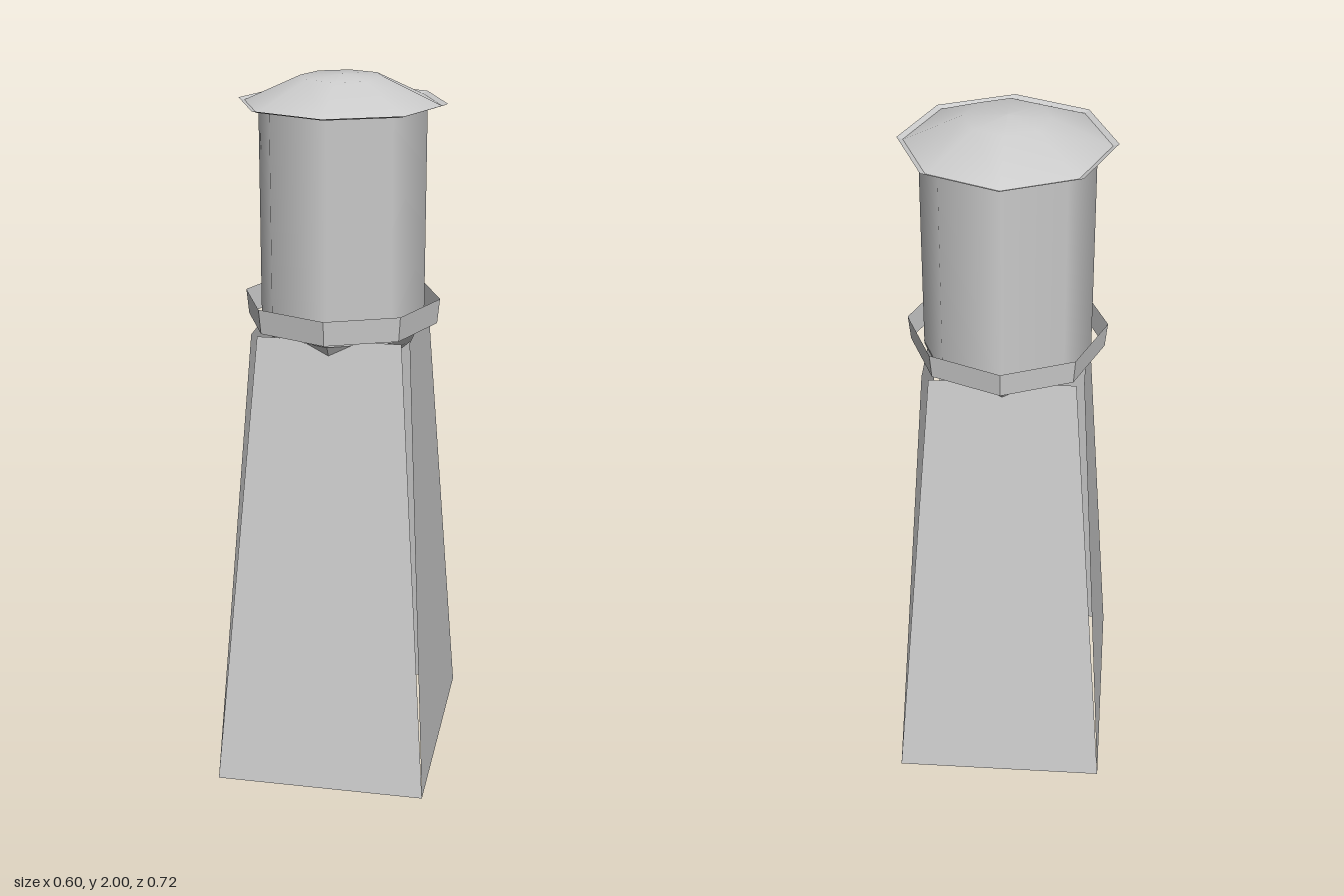
import * as THREE from 'three';

const grey = new THREE.MeshStandardMaterial({ color: 0xcccccc, side: THREE.DoubleSide });
grey.name = 'light grey metal';

const SIDES = 8;

// Eight-sided turned part from [radius, height] pairs, bottom to top
function turned(name, profile, faceted = false) {
  let geometry = new THREE.LatheGeometry(profile.map(([r, y]) => new THREE.Vector2(r, y)), SIDES);
  if (faceted) {
    geometry = geometry.toNonIndexed();
    geometry.computeVertexNormals();
  }
  const mesh = new THREE.Mesh(geometry, grey);
  mesh.name = name;
  return mesh;
}

// Leaning trapezoid wall facing +z: half width and distance at bottom and top
function wall(name, bottomHalf, bottomOut, topHalf, topOut, height, turn) {
  const geometry = new THREE.PlaneGeometry(1, 1);
  const p = geometry.attributes.position;
  for (let i = 0; i < p.count; i++) {
    const top = p.getY(i) > 0;
    const half = top ? topHalf : bottomHalf;
    p.setXYZ(i, Math.sign(p.getX(i)) * half, top ? height : 0, top ? topOut : bottomOut);
  }
  geometry.computeVertexNormals();
  const mesh = new THREE.Mesh(geometry, grey);
  mesh.name = name;
  mesh.rotation.y = turn;
  return mesh;
}

export function createModel() {
  const model = new THREE.Group();
  model.name = 'waterTower';

  // Four leaning walls, with narrow slits opening upward at the corners
  const base = new THREE.Group();
  base.name = 'towerBase';
  base.add(
    wall('frontWall', 0.3, 0.36, 0.2, 0.2, 1.31, 0),
    wall('backWall', 0.3, 0.36, 0.2, 0.2, 1.31, Math.PI),
    wall('leftWall', 0.36, 0.3, 0.185, 0.22, 1.31, Math.PI / 2),
    wall('rightWall', 0.36, 0.3, 0.185, 0.22, 1.31, -Math.PI / 2)
  );
  model.add(base);

  // Central pipe down to the ground
  model.add(turned('supplyPipe', [[0.058, 0], [0.058, 1.16]]));

  // Tank with its funnel underneath
  model.add(turned('tankFunnel', [[0.05, 1.13], [0.2, 1.26], [0.235, 1.31]], true));
  model.add(turned('tank', [[0.233, 1.3], [0.233, 1.925]]));

  // Open balcony band around the tank foot
  model.add(turned('balconyBand', [[0.27, 1.315], [0.277, 1.385]], true));

  // Shallow roof with a slightly raised lip
  model.add(turned('roof', [[0.272, 1.921], [0.115, 1.993], [0, 2.0]]));
  model.add(turned('roofLip', [[0.272, 1.921], [0.288, 1.927]], true));

  return model;
}
